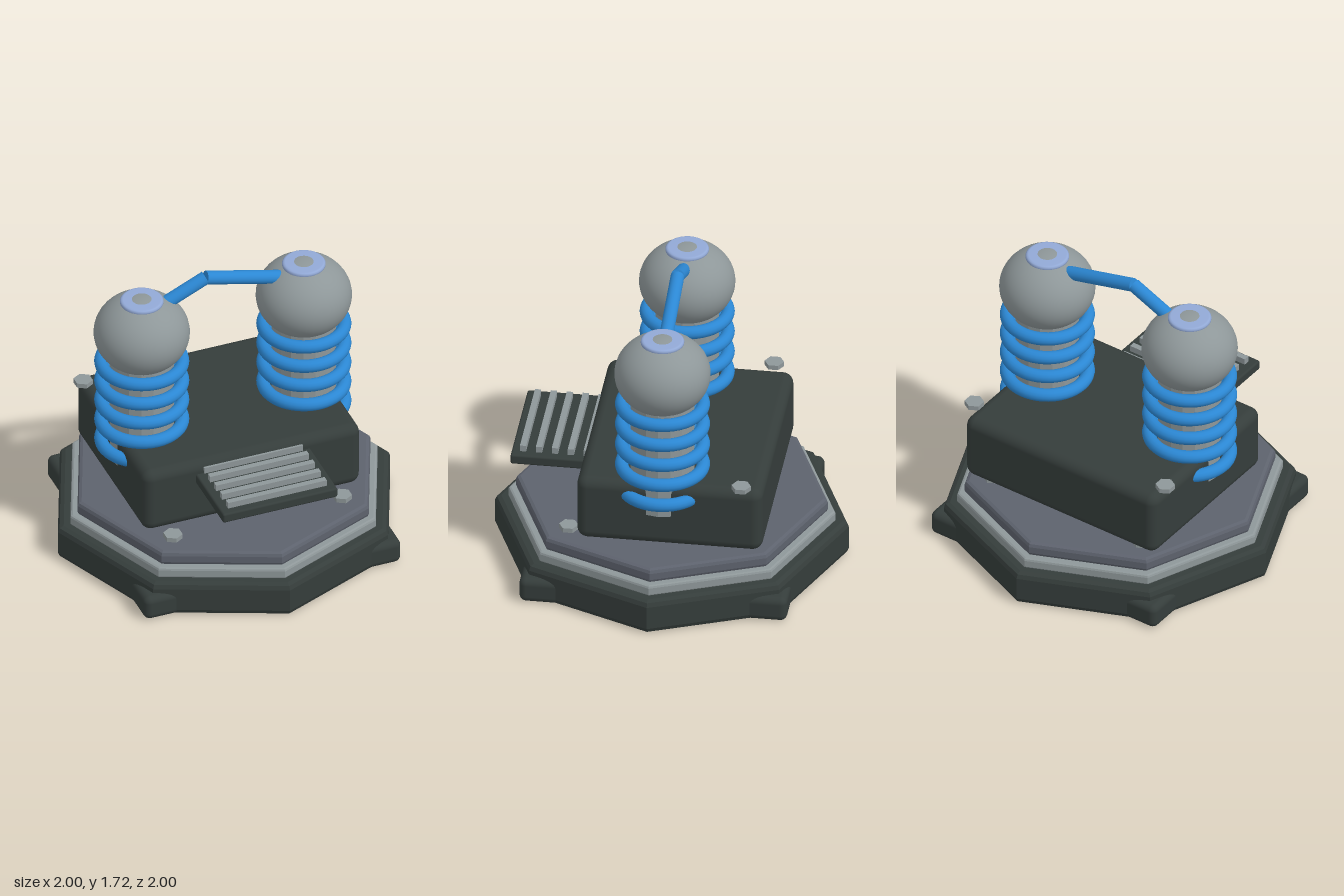
import * as THREE from 'three';
import { RoundedBoxGeometry } from 'three/addons/geometries/RoundedBoxGeometry.js';

function mat(name, color) {
  const m = new THREE.MeshStandardMaterial({ color });
  m.name = name;
  return m;
}

export function createModel() {
  const root = new THREE.Group();
  root.name = 'twinCoilGenerator';
  const dark = mat('darkCasing', 0x353d3b);
  const grey = mat('greyMetal', 0x8e9799);
  const slate = mat('slatePlate', 0x5d626d);
  const blue = mat('blueWire', 0x2b87d3);
  const lavender = mat('paleBlueCap', 0x92a9d6);

  const add = (name, geometry, material, x = 0, y = 0, z = 0, parent = root) => {
    const mesh = new THREE.Mesh(geometry, material);
    mesh.name = name;
    mesh.position.set(x, y, z);
    parent.add(mesh);
    return mesh;
  };
  const box = (w, h, d, r) => new RoundedBoxGeometry(w, h, d, 3, r);

  // Octagonal plate with bevelled rims, corners on the axes
  const octagon = (r, y0, y1, b) => {
    const c = b * 0.3;
    const profile = [[0, y0], [r - b, y0], [r - c, y0 + c], [r, y0 + b],
      [r, y1 - b], [r - c, y1 - c], [r - b, y1], [0, y1]];
    const g = new THREE.LatheGeometry(profile.map(p => new THREE.Vector2(...p)), 8).toNonIndexed();
    g.computeVertexNormals();
    return g;
  };
  add('basePlate', octagon(1, 0, 0.21, 0.035), dark);
  add('trimPlate', octagon(0.925, 0.2, 0.27, 0.015), grey);
  add('deckPlate', octagon(0.882, 0.26, 0.35, 0.025), slate);

  // Corner feet, deck bolts and rear upper bolts
  const footGeo = box(0.32, 0.15, 0.32, 0.04);
  const boltGeo = new THREE.CylinderGeometry(0.055, 0.055, 0.028, 6).toNonIndexed();
  boltGeo.computeVertexNormals();
  for (const sx of [-1, 1]) {
    for (const sz of [-1, 1]) {
      add('foot', footGeo, dark, sx * 0.613, 0.075, sz * 0.597);
      add('deckBolt', boltGeo, grey, sx * 0.51, 0.364, sz * 0.51);
    }
    add('upperBolt', boltGeo, grey, sx * 0.655, 0.8, -0.485);
  }

  // Main housing
  add('housing', box(1.31, 0.4, 1.05, 0.06), dark, -0.003, 0.57, -0.075);

  // Front vent shelf with slats
  add('ventShelf', box(0.69, 0.06, 0.45, 0.012), dark, -0.003, 0.668, 0.64);
  const slatGeo = new THREE.BoxGeometry(0.595, 0.05, 0.035);
  for (let i = 0; i < 5; i++) add('ventSlat', slatGeo, grey, -0.003, 0.71, 0.44 + i * 0.09);

  // Two coil towers
  const columnGeo = new THREE.CylinderGeometry(0.18, 0.18, 0.75, 16).toNonIndexed();
  columnGeo.computeVertexNormals();
  const domeGeo = new THREE.SphereGeometry(0.27, 40, 28).scale(1, 0.23 / 0.27, 1);
  const ringGeo = new THREE.TorusGeometry(0.229, 0.0375, 14, 48).rotateX(Math.PI / 2);
  const capProfile = [[0, -0.015], [0.122, -0.015], [0.122, 0.005], [0.115, 0.012], [0.105, 0.015], [0, 0.015]];
  const capGeo = new THREE.LatheGeometry(capProfile.map(p => new THREE.Vector2(...p)), 36);
  for (const x of [-0.489, 0.487]) {
    const tower = new THREE.Group();
    tower.name = 'coilTower';
    tower.position.set(x, 0, -0.016);
    root.add(tower);
    add('column', columnGeo, grey, 0, 0.945, 0, tower);
    add('dome', domeGeo, grey, 0, 1.41, 0, tower);
    add('domeCap', capGeo, lavender, 0, 1.62, 0, tower);
    for (let i = 0; i < 5; i++) add('coilRing', ringGeo, blue, 0, 0.68 + i * 0.1325, 0, tower);
  }

  // Bent wire joining the domes
  const rod = (a, b) => {
    const dir = b.clone().sub(a);
    const mesh = add('bridgeWire', new THREE.CylinderGeometry(0.039, 0.039, dir.length(), 20), blue);
    mesh.position.copy(a).add(b).multiplyScalar(0.5);
    mesh.quaternion.setFromUnitVectors(new THREE.Vector3(0, 1, 0), dir.normalize());
  };
  const bend = new THREE.Vector3(-0.105, 1.681, -0.016);
  rod(new THREE.Vector3(-0.345, 1.572, -0.016), bend);
  rod(bend, new THREE.Vector3(0.345, 1.568, -0.016));

  return root;
}
